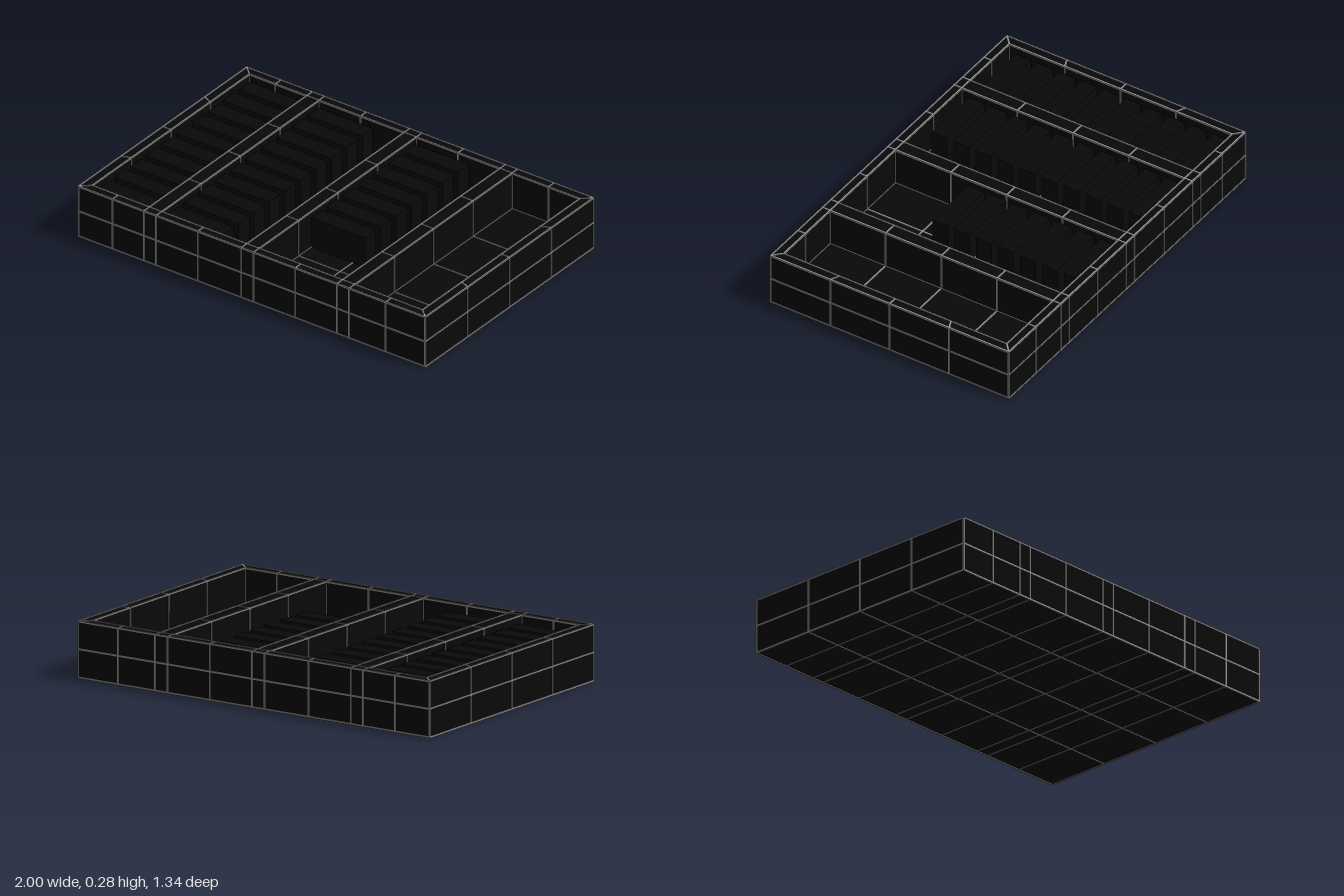
import * as THREE from 'three';

const W = 0.996, D = 0.662, H = 0.272, BASE = 0.004; // tray half width, half depth, top, underside
const IW = 0.95, ID = 0.62, FLOOR = 0.08;             // inner half width, half depth, floor height
const DIVIDERS = [[-0.62, -0.55], [-0.06, 0.01], [0.49, 0.56]];

const black = new THREE.MeshStandardMaterial({ color: 0x090909 });
const grey = new THREE.MeshStandardMaterial({ color: 0x999999 });

// Box given by its minimum and maximum corners
function box(parent, name, min, max) {
  const size = max.map((v, i) => v - min[i]);
  const mesh = new THREE.Mesh(new THREE.BoxGeometry(...size), black);
  mesh.position.set(...max.map((v, i) => (v + min[i]) / 2));
  mesh.name = name;
  parent.add(mesh);
}

// Thin seam strip between two points
function strip(parent, a, b) {
  const t = 0.008;
  const p = new THREE.Vector3(...a), q = new THREE.Vector3(...b);
  const mesh = new THREE.Mesh(new THREE.BoxGeometry(t, t, p.distanceTo(q) + t), grey);
  mesh.position.copy(p).add(q).multiplyScalar(0.5);
  mesh.lookAt(q);
  mesh.name = 'seam';
  parent.add(mesh);
}

function group(parent, name) {
  const g = new THREE.Group();
  g.name = name;
  parent.add(g);
  return g;
}

export function createModel() {
  const model = new THREE.Group();
  model.name = 'dividedTray';

  // Tray floor, walls and dividers
  const tray = group(model, 'tray');
  box(tray, 'floor', [-W, BASE, -D], [W, FLOOR, D]);
  box(tray, 'frontWall', [-W, FLOOR, ID], [W, H, D]);
  box(tray, 'backWall', [-W, FLOOR, -D], [W, H, -ID]);
  box(tray, 'rightWall', [-W, FLOOR, -ID], [-IW, H, ID]);
  box(tray, 'leftWall', [IW, FLOOR, -ID], [W, H, ID]);
  for (const [a, b] of DIVIDERS) box(tray, 'divider', [a, FLOOR, -ID], [b, H, ID]);

  // Rows of upright blocks filling the compartments
  const blocks = group(model, 'blocks');
  for (const [x0, x1, count] of [[-0.94, -0.63, 10], [-0.545, -0.23, 10], [0.012, 0.32, 7]]) {
    for (let i = 0; i < count; i++) {
      const z = -0.565 + i * 0.122;
      box(blocks, 'block', [x0, FLOOR, z - 0.043], [x1, 0.24, z + 0.043]);
    }
  }

  // Seams around the outside
  const seams = group(model, 'seams');
  const edges = DIVIDERS.flat();
  const middles = [-0.8, -0.31, 0.25, 0.77];
  for (const y of [BASE, 0.14, H]) {
    for (const s of [-1, 1]) {
      strip(seams, [-W, y, s * D], [W, y, s * D]);
      strip(seams, [s * W, y, -D], [s * W, y, D]);
    }
  }
  for (const x of [-W, ...edges, ...middles, W]) {
    strip(seams, [x, BASE, -D], [x, BASE, D]);
    for (const s of [-1, 1]) {
      strip(seams, [x, BASE, s * D], [x, H, s * D]);
      if (Math.abs(x) < IW) strip(seams, [x, H, s * ID], [x, H, s * D]);
    }
  }
  // Side seams sit slightly wider apart outside than inside
  for (const k of [-1, 0, 1]) {
    const outer = k * 0.33, inner = k * 0.31;
    strip(seams, [-W, BASE, outer], [W, BASE, outer]);
    for (const s of [-1, 1]) {
      strip(seams, [s * W, BASE, outer], [s * W, H, outer]);
      strip(seams, [s * IW, H, inner], [s * W, H, outer]);
    }
    for (const [a, b] of DIVIDERS) strip(seams, [a, H, inner], [b, H, inner]);
  }

  // Seams on the inner rim, mitred corners and divider tops
  for (const s of [-1, 1]) {
    strip(seams, [-IW, H, s * ID], [IW, H, s * ID]);
    strip(seams, [s * IW, H, -ID], [s * IW, H, ID]);
    for (const t of [-1, 1]) strip(seams, [s * IW, H, t * ID], [s * W, H, t * D]);
  }
  for (const x of edges) strip(seams, [x, H, -ID], [x, H, ID]);

  // Seams inside each compartment
  const bounds = [-IW, ...edges, IW];
  middles.forEach((m, i) => {
    const a = bounds[2 * i], b = bounds[2 * i + 1];
    strip(seams, [m, FLOOR, -ID], [m, FLOOR, ID]);
    for (const z of [-ID, -0.31, 0, 0.31, ID]) {
      strip(seams, [a, FLOOR, z], [b, FLOOR, z]);
      for (const x of [a, b]) strip(seams, [x, FLOOR, z], [x, H, z]);
    }
    for (const x of [a, b]) strip(seams, [x, FLOOR, -ID], [x, FLOOR, ID]);
    for (const s of [-1, 1]) strip(seams, [m, FLOOR, s * ID], [m, H, s * ID]);
  });

  return model;
}
